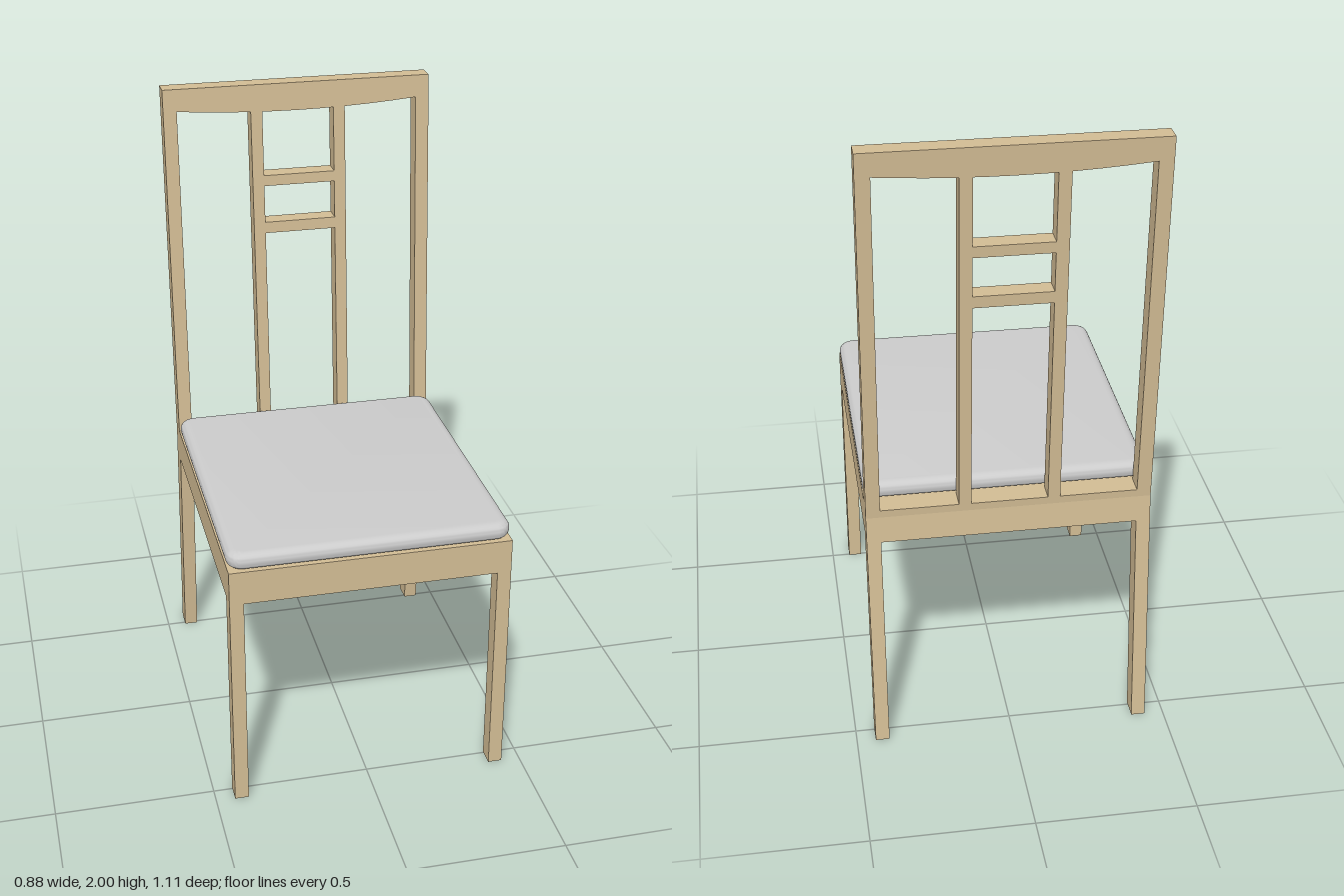
import * as THREE from 'three';
import { mergeVertices, toCreasedNormals } from 'three/addons/utils/BufferGeometryUtils.js';

const wood = new THREE.MeshStandardMaterial({ color: 0xd2bc94, flatShading: true });
const fabric = new THREE.MeshStandardMaterial({ color: 0xcccccc });

const HALF_W = 0.44, POST = 0.044;      // half chair width, post width
const RAIL_LOW = 0.715, SEAT_Y = 0.825; // apron bottom and top
const TOP = 2;

// front and rear faces of the leaning back at height y
const frontZ = y => -0.422 - 0.068 * (y - SEAT_Y) / (TOP - SEAT_Y);
const rearZ = y => -0.482 - 0.07 * (y - 0.8) / (TOP - 0.8);

export function createModel() {
  const chair = new THREE.Group();
  chair.name = 'chair';

  const add = (name, geometry, material = wood) => {
    const mesh = new THREE.Mesh(geometry, material);
    mesh.name = name;
    chair.add(mesh);
    return mesh;
  };

  const box = (name, x0, x1, y0, y1, z0, z1) =>
    add(name, new THREE.BoxGeometry(x1 - x0, y1 - y0, z1 - z0))
      .position.set((x0 + x1) / 2, (y0 + y1) / 2, (z0 + z1) / 2);

  // side outline of [z, y] points, extruded along x around centre x
  const sidePiece = (name, outline, x, width) => {
    const shape = new THREE.Shape(outline.map(p => new THREE.Vector2(...p)));
    const geo = new THREE.ExtrudeGeometry(shape, { depth: width, bevelEnabled: false });
    geo.rotateY(-Math.PI / 2).translate(x + width / 2, 0, 0);
    add(name, geo);
  };

  // piece lying within the leaning back, from y0 to y1
  const backPiece = (name, x, width, y0, y1) => sidePiece(name, [
    [rearZ(y0), y0], [frontZ(y0), y0], [frontZ(y1), y1], [rearZ(y1), y1],
  ], x, width);

  // legs, posts and side rails
  for (const [side, s] of [['left', 1], ['right', -1]]) {
    const x = s * (HALF_W - POST / 2);
    sidePiece(side + 'BackPost', [
      [-0.553, 0], [-0.49, 0], [-0.422, RAIL_LOW], [-0.422, SEAT_Y],
      [frontZ(TOP), TOP], [rearZ(TOP), TOP], [-0.482, 0.8],
    ], x, POST);
    box(side + 'FrontLeg', x - POST / 2, x + POST / 2, 0, SEAT_Y, 0.495, 0.552);
    const outer = s * HALF_W, inner = s * (HALF_W - 0.032);
    box(side + 'SeatRail', Math.min(outer, inner), Math.max(outer, inner),
      RAIL_LOW, SEAT_Y, -0.422, 0.495);
    backPiece(side + 'BackSlat', s * 0.137, 0.038, SEAT_Y, 1.92);
  }

  // front and rear rails and the panel beneath the cushion
  const inX = HALF_W - POST;
  box('frontSeatRail', -inX, inX, RAIL_LOW, SEAT_Y, 0.52, 0.552);
  sidePiece('rearSeatRail', [
    [-0.49, RAIL_LOW], [-0.422, RAIL_LOW], [-0.422, SEAT_Y],
    [rearZ(SEAT_Y), SEAT_Y], [-0.482, 0.8],
  ], 0, inX * 2);
  box('seatPanel', -0.41, 0.41, 0.8, 0.824, -0.424, 0.522);

  // two short bars between the slats
  backPiece('lowerCrossbar', 0, 0.236, 1.505, 1.542);
  backPiece('upperCrossbar', 0, 0.236, 1.665, 1.7);

  // top rail with a bowed lower edge, sheared to follow the lean
  const rail = new THREE.Shape();
  rail.moveTo(-inX, TOP);
  rail.lineTo(-inX, 1.928);
  rail.quadraticCurveTo(0, 1.892, inX, 1.928);
  rail.lineTo(inX, TOP);
  const railGeo = new THREE.ExtrudeGeometry(rail, { depth: 1, bevelEnabled: false, curveSegments: 10 });
  const rp = railGeo.attributes.position;
  for (let i = 0; i < rp.count; i++) {
    const y = rp.getY(i);
    rp.setZ(i, rp.getZ(i) > 0.5 ? frontZ(y) : rearZ(y));
  }
  railGeo.computeVertexNormals();
  add('topRail', railGeo);

  // cushion: rounded rectangle with a soft bevelled edge
  const hx = 0.41, hz = 0.457, r = 0.02, bevel = 0.03;
  const pad = new THREE.Shape();
  pad.absarc(hx - r, hz - r, r, 0, Math.PI / 2);
  pad.absarc(-hx + r, hz - r, r, Math.PI / 2, Math.PI);
  pad.absarc(-hx + r, -hz + r, r, Math.PI, Math.PI * 1.5);
  pad.absarc(hx - r, -hz + r, r, Math.PI * 1.5, Math.PI * 2);
  pad.closePath();
  let padGeo = new THREE.ExtrudeGeometry(pad, {
    depth: 0.011, bevelSize: bevel, bevelThickness: 0.022, bevelSegments: 6, curveSegments: 6,
  });
  padGeo.deleteAttribute('normal');
  padGeo.deleteAttribute('uv');
  padGeo = toCreasedNormals(mergeVertices(padGeo, 1e-4), 0.8);
  padGeo.rotateX(-Math.PI / 2);
  add('seatCushion', padGeo, fabric).position.set(0, SEAT_Y + 0.022, 0.065);

  return chair;
}
